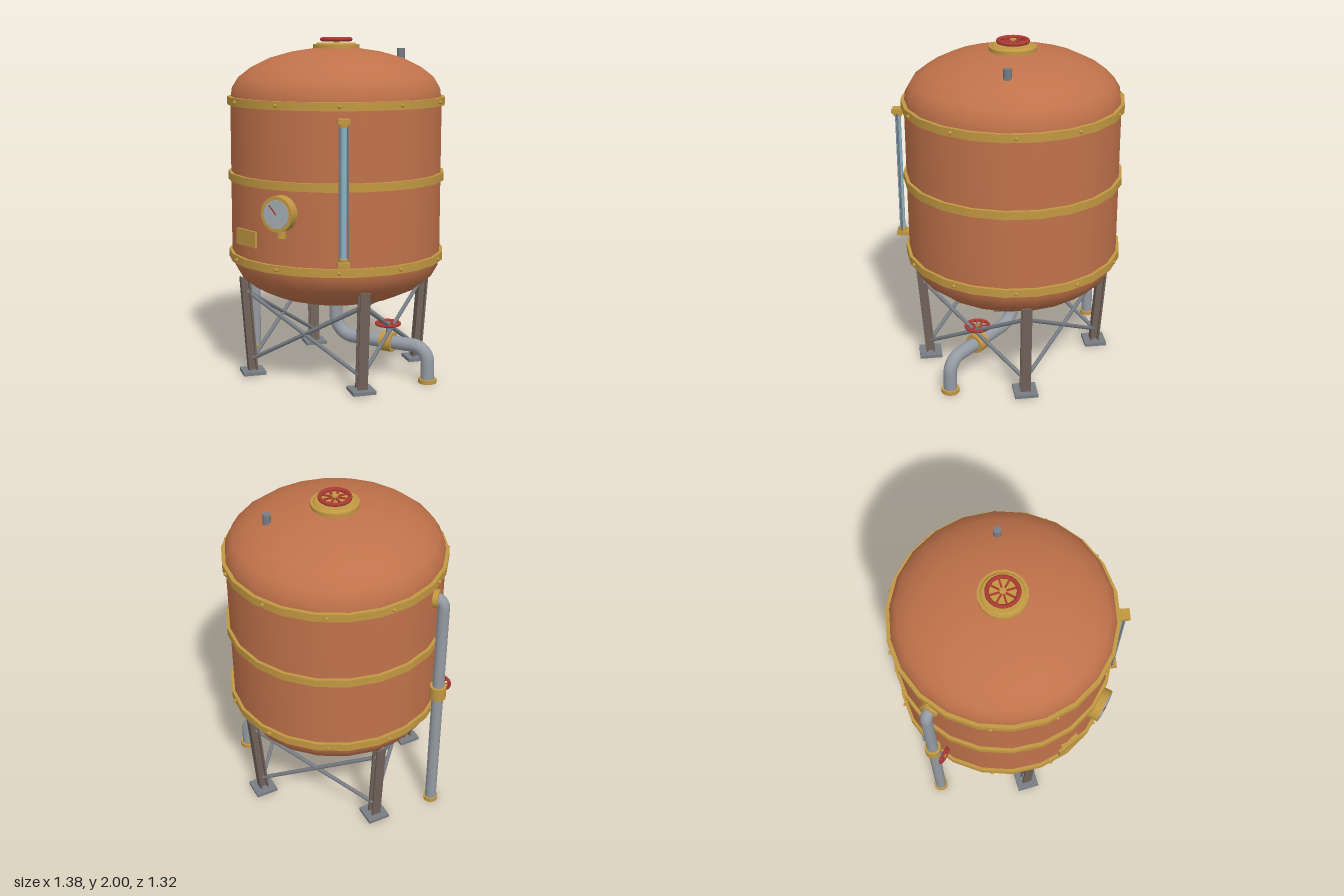
import * as THREE from 'three';

const mat = (name, color, extra) => Object.assign(new THREE.MeshStandardMaterial({ color, ...extra }), { name });
const copper = mat('copper', 0xc0724a);
const brass = mat('brass', 0xc29842);
const red = mat('valve red', 0xac3a33);
const steel = mat('pipe steel', 0x959ba3);
const darkSteel = mat('dark steel', 0x787d84);
const legBrown = mat('leg brown', 0x706259);
const glass = mat('sight glass blue', 0x8ab4c6);
const dial = mat('dial grey', 0xa6afb5);

const V = (x, y, z) => new THREE.Vector3(x, y, z);
const CX = 0.027, CZ = -0.018, SIDES = 22, R = 0.622;

function add(parent, name, geometry, material, x = 0, y = 0, z = 0) {
  const mesh = new THREE.Mesh(geometry, material);
  mesh.name = name;
  mesh.position.set(x, y, z);
  parent.add(mesh);
  return mesh;
}

const cyl = (r, h, n = 16, r2 = r) => new THREE.CylinderGeometry(r, r2, h, n);
const box = (x, y, z) => new THREE.BoxGeometry(x, y, z);

// Straight round bar between two points
function rod(parent, name, a, b, r, material, n = 8) {
  const dir = b.clone().sub(a);
  const mesh = add(parent, name, cyl(r, dir.length(), n), material);
  mesh.position.copy(a).addScaledVector(dir, 0.5);
  mesh.quaternion.setFromUnitVectors(V(0, 1, 0), dir.normalize());
  return mesh;
}

// Pipe through corner points, each bend rounded by a radius
function pipe(parent, name, points, bends, r) {
  const path = new THREE.CurvePath();
  let from = points[0];
  for (let i = 1; i < points.length - 1; i++) {
    const p = points[i], k = bends[i - 1];
    const a = p.clone().add(points[i - 1].clone().sub(p).setLength(k));
    const b = p.clone().add(points[i + 1].clone().sub(p).setLength(k));
    const h = 0.552;
    path.add(new THREE.LineCurve3(from, a));
    path.add(new THREE.CubicBezierCurve3(a, a.clone().lerp(p, h), b.clone().lerp(p, h), b));
    from = b;
  }
  path.add(new THREE.LineCurve3(from, points[points.length - 1]));
  return add(parent, name, new THREE.TubeGeometry(path, 72, r, 14), steel);
}

// Spoked wheel lying flat, axis along y
function handwheel(parent, name, r, tube) {
  const g = new THREE.Group();
  g.name = name;
  add(g, 'wheelRim', new THREE.TorusGeometry(r - tube, tube, 8, 20), red).rotation.x = Math.PI / 2;
  for (let i = 0; i < 4; i++) {
    const s = add(g, 'wheelSpoke', box(2 * (r - tube), tube * 0.7, tube * 0.8), red);
    s.rotation.y = i * Math.PI / 4;
  }
  add(g, 'wheelHub', cyl(r * 0.2, tube * 1.8, 10), brass);
  parent.add(g);
  return g;
}

export function createModel() {
  const root = new THREE.Group();
  root.name = 'storageTank';
  const tank = new THREE.Group();
  tank.name = 'tank';
  tank.position.set(CX, 0, CZ);
  root.add(tank);

  // Group on the tank wall whose +z points outward
  const onWall = (name, angle) => {
    const g = new THREE.Group();
    g.name = name;
    g.rotation.y = angle;
    tank.add(g);
    return g;
  };

  // Vessel with domed ends
  const profile = [[0, 0.427], [0.13, 0.434], [0.26, 0.455], [0.39, 0.492], [0.5, 0.544], [0.575, 0.605],
    [0.612, 0.67], [R, 0.735], [R, 1.635], [0.612, 1.71], [0.575, 1.77], [0.5, 1.828], [0.39, 1.882],
    [0.26, 1.918], [0.13, 1.938], [0, 1.945]].map(p => new THREE.Vector2(...p));
  add(tank, 'vessel', new THREE.LatheGeometry(profile, SIDES, Math.PI / 2), copper);

  // Hoops, with rivets on the upper and lower ones
  for (const y of [0.731, 1.2, 1.637]) {
    add(tank, 'hoop', cyl(0.64, 0.047, SIDES), brass, 0, y, 0).rotation.y = Math.PI / 2;
    if (y === 1.2) continue;
    for (let i = 0; i < 11; i++) {
      const a = -0.04 + i * 2 * Math.PI / 11;
      add(tank, 'rivet', new THREE.SphereGeometry(0.011, 8, 6), brass, 0.638 * Math.sin(a), y, 0.638 * Math.cos(a));
    }
  }

  // Top hatch with wheel, and vent
  add(tank, 'hatchFlange', cyl(0.137, 0.036, 16), brass, 0, 1.941, 0);
  add(tank, 'hatchLid', cyl(0.112, 0.012, 16, 0.125), brass, 0, 1.963, 0);
  add(tank, 'hatchStem', cyl(0.018, 0.03, 10), brass, 0, 1.975, 0);
  handwheel(tank, 'hatchWheel', 0.096, 0.012).position.y = 1.988;
  add(tank, 'vent', cyl(0.023, 0.09, 12), darkSteel, 0.32, 1.893, -0.205);

  // Pressure gauge
  const gauge = onWall('gauge', 0);
  add(gauge, 'gaugeCase', cyl(0.1, 0.066, 20), brass, 0, 1.05, 0.642).rotation.x = Math.PI / 2;
  add(gauge, 'gaugeFace', cyl(0.08, 0.006, 20), dial, 0, 1.05, 0.676).rotation.x = Math.PI / 2;
  const needle = add(gauge, 'gaugeNeedle', box(0.007, 0.066, 0.004), red, -0.021, 1.074, 0.681);
  needle.rotation.z = 0.72;
  add(gauge, 'gaugeStub', cyl(0.028, 0.06, 10), brass, 0, 0.94, 0.622);

  // Blank plate
  const plate = onWall('wallPlate', -0.4);
  add(plate, 'plate', box(0.187, 0.092, 0.014), brass, 0, 0.884, 0.642);
  add(plate, 'plateBacking', box(0.12, 0.06, 0.04), brass, 0, 0.884, 0.62);

  // Sight glass
  const sight = onWall('sightGlass', 0.563);
  add(sight, 'glassTube', cyl(0.017, 0.75, 12), glass, 0, 1.176, 0.67);
  for (const s of [-1, 1]) {
    add(sight, 'guardRod', cyl(0.006, 0.75, 6), darkSteel, s * 0.023, 1.176, 0.67);
    add(sight, 'sightFitting', box(0.064, 0.027, 0.075), brass, 0, 1.176 + s * 0.386, 0.664);
    add(sight, 'sightCollar', cyl(0.026, 0.02, 12), brass, 0, 1.176 + s * 0.365, 0.67);
  }

  // Legs and feet at the four corners
  for (let i = 0; i < 4; i++) {
    const leg = onWall('leg', Math.PI / 4 + i * Math.PI / 2);
    add(leg, 'footPlate', box(0.135, 0.02, 0.135), darkSteel, 0, 0.024, 0.518);
    const beam = new THREE.Group();
    beam.name = 'legBeam';
    beam.position.set(0, 0.025, 0.518);
    beam.rotation.x = 0.075;
    leg.add(beam);
    for (const z of [-0.022, 0.022]) add(beam, 'legFlange', box(0.058, 0.58, 0.011), legBrown, 0, 0.29, z);
    add(beam, 'legWeb', box(0.014, 0.58, 0.044), legBrown, 0, 0.29, 0);
  }

  // Cross braces on each side
  for (let i = 0; i < 4; i++) {
    const side = onWall('crossBrace', i * Math.PI / 2);
    for (const s of [-1, 1]) {
      rod(side, 'braceRod', V(-s * 0.362, 0.105, 0.367), V(s * 0.385, 0.515, 0.385), 0.012, darkSteel);
    }
  }

  // Bottom outlet with valve
  const outlet = new THREE.Group();
  outlet.name = 'outlet';
  root.add(outlet);
  pipe(outlet, 'outletPipe', [V(CX, 0.45, CZ), V(CX, 0.215, CZ), V(0.637, 0.215, CZ), V(0.637, 0.008, CZ)], [0.12, 0.09], 0.04);
  add(outlet, 'outletTopFlange', cyl(0.055, 0.035), brass, CX, 0.425, CZ);
  add(outlet, 'outletEndFlange', cyl(0.053, 0.024), brass, 0.637, 0.016, CZ);
  add(outlet, 'outletValve', cyl(0.058, 0.075), brass, 0.378, 0.215, CZ).rotation.z = Math.PI / 2;
  add(outlet, 'outletStem', cyl(0.012, 0.1, 8), darkSteel, 0.378, 0.285, CZ);
  handwheel(outlet, 'outletWheel', 0.078, 0.01).position.set(0.378, 0.325, CZ);

  // Side feed pipe with valve
  const feed = new THREE.Group();
  feed.name = 'feed';
  root.add(feed);
  const fx = -0.635, fz = -0.135;
  pipe(feed, 'feedPipe', [V(fx, 0.008, fz), V(fx, 1.53, fz), V(-0.54, 1.53, fz)], [0.05], 0.034);
  add(feed, 'feedWallFlange', cyl(0.052, 0.03), brass, -0.592, 1.53, fz).rotation.z = Math.PI / 2;
  add(feed, 'feedEndFlange', cyl(0.044, 0.024), brass, fx, 0.016, fz);
  add(feed, 'feedValve', cyl(0.049, 0.085), brass, fx, 0.88, fz);
  rod(feed, 'feedStem', V(fx, 0.88, fz), V(fx, 0.88, -0.055), 0.01, darkSteel);
  const wheel = handwheel(feed, 'feedWheel', 0.06, 0.01);
  wheel.position.set(fx, 0.88, -0.056);
  wheel.rotation.x = Math.PI / 2;

  return root;
}
